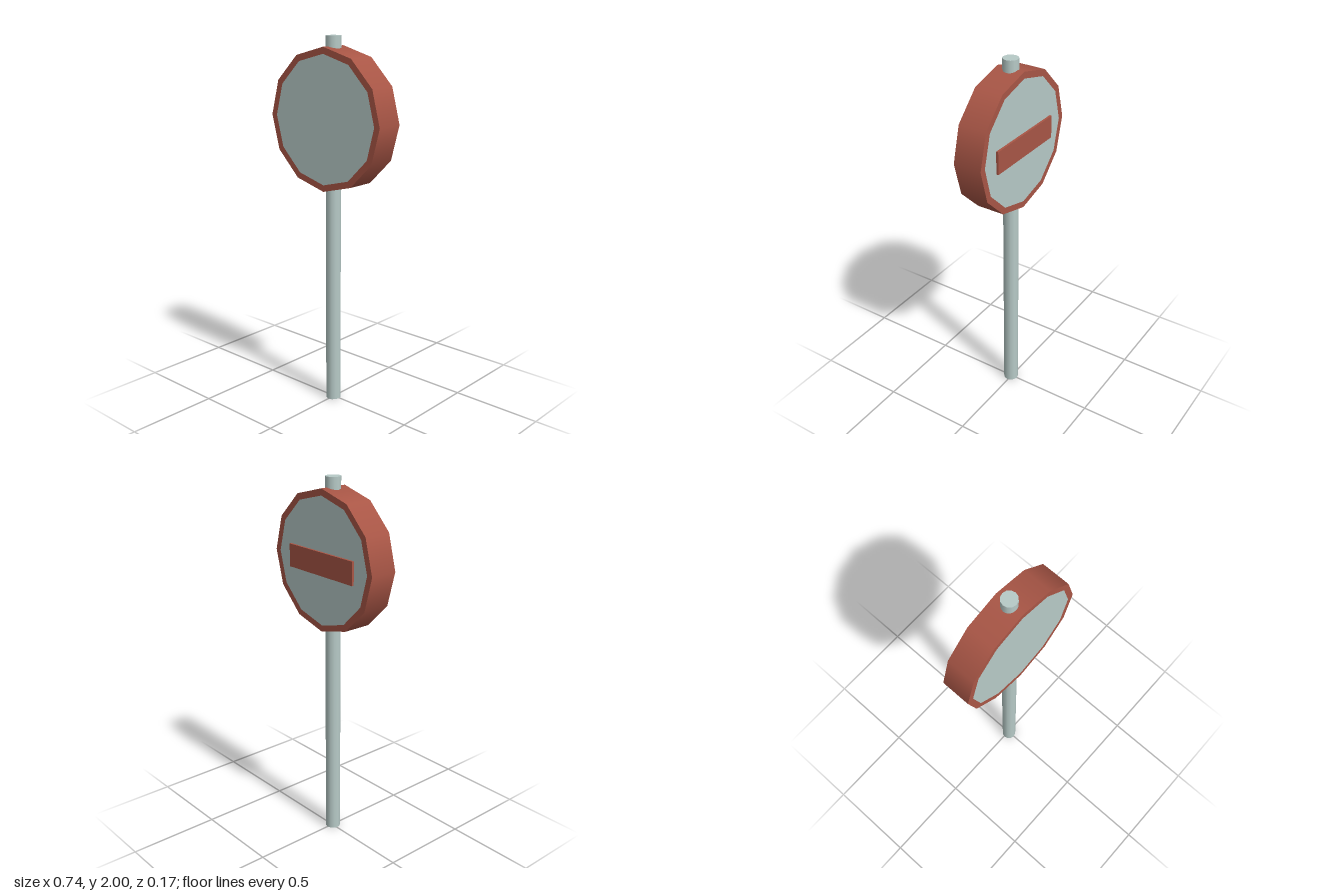
import * as THREE from 'three';

export function createModel() {
  const model = new THREE.Group();
  const red = new THREE.MeshStandardMaterial({ color: 0xa95646 });
  red.name = 'brick red';
  const grey = new THREE.MeshStandardMaterial({ color: 0xb7cac7 });
  grey.name = 'pale grey green';

  const add = (name, geometry, material, x, y, z, parent = model) => {
    const mesh = new THREE.Mesh(geometry, material);
    mesh.name = name;
    mesh.position.set(x, y, z);
    parent.add(mesh);
    return mesh;
  };

  const SIDES = 12, RADIUS = 0.372, INNER = 0.337, DEPTH = 0.155, MID_Z = 0.0055;

  // Pole running through the disc
  add('pole', new THREE.CylinderGeometry(0.041, 0.041, 2, SIDES), grey, 0, 1, MID_Z);

  // Twelve-sided sign disc
  const sign = new THREE.Group();
  sign.name = 'signDisc';
  sign.position.set(0, 1.575, MID_Z);
  model.add(sign);

  const wall = new THREE.CylinderGeometry(RADIUS, RADIUS, DEPTH, SIDES, 1, true).rotateX(Math.PI / 2);
  add('outerWall', wall, red, 0, 0, 0, sign);

  // Red border and pale panel on both faces
  for (const [side, dir] of [['front', 1], ['back', -1]]) {
    const turn = dir > 0 ? 0 : Math.PI;
    const z = dir * DEPTH / 2;
    add(side + 'Border', new THREE.RingGeometry(INNER, RADIUS, SIDES), red, 0, 0, z, sign).rotation.y = turn;
    add(side + 'Panel', new THREE.CircleGeometry(INNER, SIDES), grey, 0, 0, z, sign).rotation.y = turn;
  }

  // Raised bar on the back
  add('backBar', new THREE.BoxGeometry(0.486, 0.123, 0.02), red, 0, 1.568, -0.074);

  return model;
}
